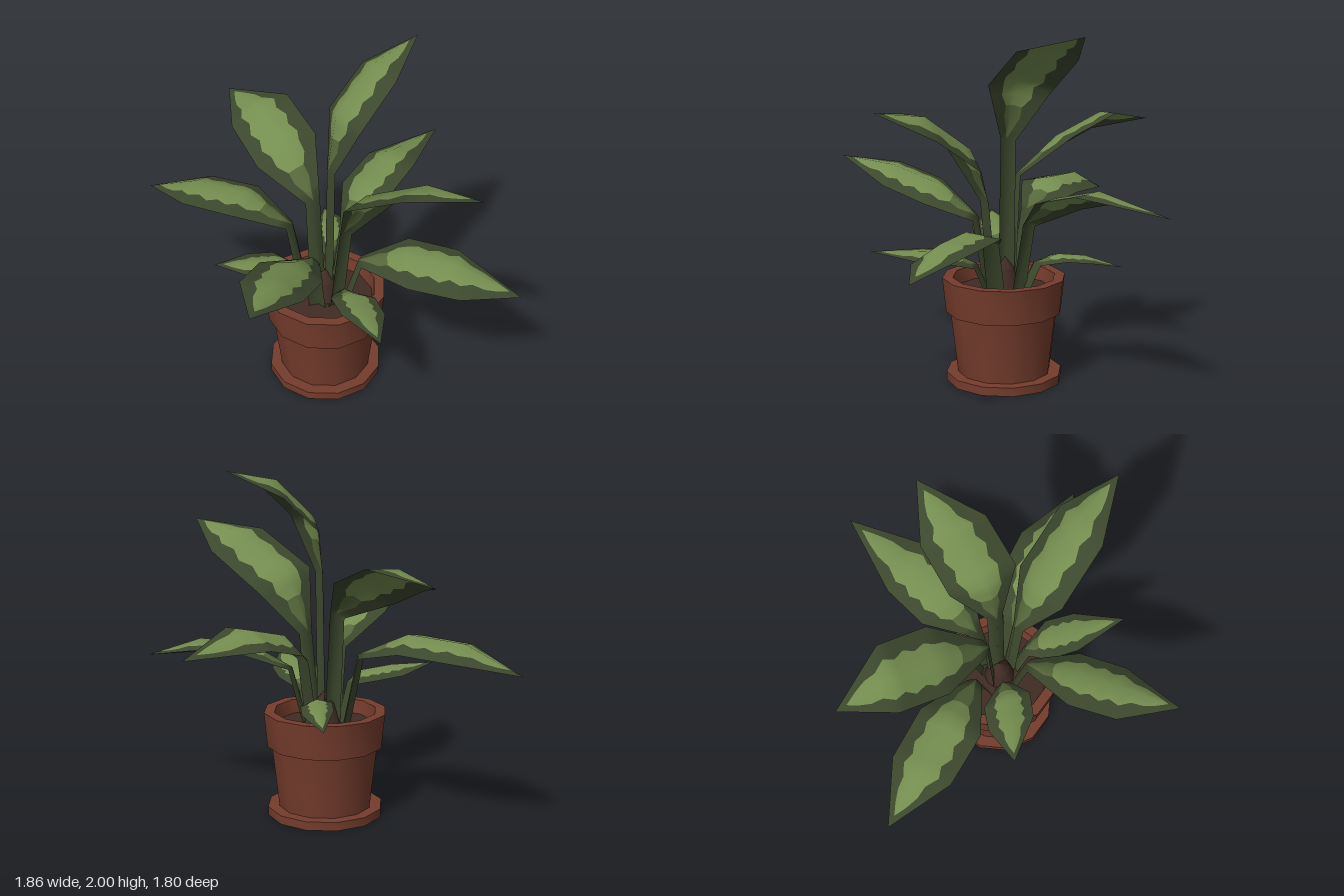
import * as THREE from 'three';
import { mergeVertices, toCreasedNormals } from 'three/addons/utils/BufferGeometryUtils.js';

const mat = (name, color, side = THREE.FrontSide) => {
  const m = new THREE.MeshStandardMaterial({ color, side });
  m.name = name;
  return m;
};
const terracotta = mat('terracotta', 0x743c2c);
const soilBrown = mat('soil brown', 0x402c24);
const darkGreen = mat('dark green', 0x3c482d, THREE.DoubleSide);
const midGreen = mat('mid green', 0x55683a, THREE.DoubleSide);
const lightGreen = mat('light green', 0x748d4f, THREE.DoubleSide);

const POT = new THREE.Vector3(-0.03, 0, 0.018);
const V = (a) => new THREE.Vector3(...a);

// Twelve-sided turned part, smooth around and sharp at the rims
function turned(name, profile, material) {
  const lathe = new THREE.LatheGeometry(profile.map(([r, y]) => new THREE.Vector2(r, y)), 12);
  const m = new THREE.Mesh(toCreasedNormals(lathe, 0.6), material);
  m.name = name;
  m.position.copy(POT);
  return m;
}

// Ragged half-width of the pale patch along the blade, as a share of the blade
const PATCH = [0, 0.3, 0.48, 0.38, 0.58, 0.5, 0.64, 0.52, 0.66, 0.5, 0.62, 0.48, 0.58, 0.5, 0, 0];
const STEPS = 5;

// Folded leaf: stem to blade base, two wide sections, then the tip.
// half runs from the blade centre to one edge; ridge is how far the midrib stands above the edges.
function leaf(name, ridge, half, base, wide1, wide2, tip) {
  const foot = [base[0] * 0.6 + POT.x * 0.4, 0.52, base[2] * 0.6 + POT.z * 0.4];
  const path = [foot, base, wide1, wide2, tip].map(V);
  const side = V(half);
  const stemWidth = 0.046 / side.length();
  const widths = [stemWidth * 1.1, stemWidth, 1, 0.97, 0];
  const ridges = [0.025, 0.025, ridge, ridge, 0];
  if (side.clone().cross(path[4].clone().sub(path[1])).y < 0) side.negate();

  // Key cross-sections with the fold direction at each
  const keys = path.map((p, i) => {
    const along = path[Math.min(i + 1, 4)].clone().sub(path[Math.max(i - 1, 0)]);
    const fold = side.clone().cross(along).normalize().multiplyScalar(ridges[i]);
    return { p, fold, edge: side.clone().multiplyScalar(widths[i]) };
  });
  const section = (i, t, shares) => {
    const a = keys[i], b = keys[Math.min(i + 1, 4)];
    const p = a.p.clone().lerp(b.p, t);
    const edge = a.edge.clone().lerp(b.edge, t);
    const fold = a.fold.clone().lerp(b.fold, t);
    return shares.map((s) => p.clone().addScaledVector(edge, s).addScaledVector(fold, 1 - Math.abs(s)));
  };
  const quad = (out, r0, r1, k) =>
    out.push(r0[k], r0[k + 1], r1[k], r0[k + 1], r1[k + 1], r1[k]);

  // Folded stem, in the margin colour
  const margin = [], shade = [], patch = [];
  const rows = [0, 1].map((i) => section(i, 0, [-1, 0, 1]));
  [0, 1].forEach((k) => quad(margin, rows[0], rows[1], k));

  // Blade rows split into margin and patch
  const blade = PATCH.map((f, r) => {
    const i = Math.min(1 + Math.floor(r / STEPS), 3);
    return section(i, r / STEPS - (i - 1), [-1, -f, 0, f * 0.92, 1]);
  });
  for (let r = 0; r < blade.length - 1; r++) {
    [0, 3].forEach((k) => quad(margin, blade[r], blade[r + 1], k));
    [1, 2].forEach((k) => quad(r < 3 ? shade : patch, blade[r], blade[r + 1], k));
  }

  // One smooth surface with a colour group for each zone
  const g = mergeVertices(new THREE.BufferGeometry().setFromPoints([...margin, ...shade, ...patch]));
  g.computeVertexNormals();
  let start = 0;
  [margin, shade, patch].forEach((zone, i) => {
    g.addGroup(start, zone.length, i);
    start += zone.length;
  });
  const m = new THREE.Mesh(g, [darkGreen, midGreen, lightGreen]);
  m.name = name;
  return m;
}

export function createModel() {
  const model = new THREE.Group();
  model.name = 'pottedPlant';

  // Pot
  model.add(
    turned('saucer', [[0, 0], [0.335, 0], [0.335, 0.05], [0, 0.05]], terracotta),
    turned('potBody', [[0.268, 0.05], [0.31, 0.415]], terracotta),
    turned('potRim', [[0.3, 0.41], [0.335, 0.41], [0.355, 0.61], [0.295, 0.61], [0.28, 0.52]], terracotta),
    turned('soil', [[0.285, 0.53], [0, 0.54]], soilBrown),
    turned('rootCrown', [[0.09, 0.53], [0.06, 0.66], [0, 0.73]], soilBrown)
  );

  // Leaves: midrib height, edge vector, blade base, lower width, upper width, tip
  model.add(
    leaf('topLeaf', 0.065, [0.046, 0.03, 0.18], [0.01, 1.4, 0], [0.1, 1.69, -0.05], [0.31, 1.885, -0.165], [0.565, 2, -0.31]),
    leaf('tallFrontLeaf', 0.065, [0.168, -0.055, -0.083], [0.06, 1.05, 0.14], [0.16, 1.33, 0.275], [0.395, 1.535, 0.53], [0.61, 1.64, 0.77]),
    leaf('tallBackLeaf', 0.06, [0.175, 0.068, -0.033], [-0.08, 1.17, -0.07], [-0.17, 1.34, -0.34], [-0.27, 1.455, -0.61], [-0.4, 1.45, -0.9]),
    leaf('backRightLeaf', 0.06, [0.11, -0.02, -0.15], [-0.2, 0.95, -0.15], [-0.43, 1.045, -0.32], [-0.67, 1.025, -0.515], [-0.93, 0.94, -0.74]),
    leaf('backLeftLeaf', 0.05, [0.1, 0.04, 0.15], [0.12, 0.93, -0.1], [0.27, 1.065, -0.24], [0.47, 1.135, -0.41], [0.84, 1.1, -0.71]),
    leaf('frontLeftLeaf', 0.075, [0.05, 0.04, -0.17], [0.16, 0.83, 0.12], [0.39, 0.895, 0.27], [0.635, 0.895, 0.43], [0.93, 0.84, 0.63]),
    leaf('frontRightLeaf', 0.06, [0.157, -0.045, 0.065], [-0.14, 0.93, 0.17], [-0.3, 1.06, 0.39], [-0.45, 1.145, 0.62], [-0.61, 1.235, 0.9]),
    leaf('smallFrontLeaf', 0.025, [0.125, -0.015, 0.01], [0.04, 0.69, 0.2], [0.06, 0.75, 0.32], [0.075, 0.77, 0.49], [0.095, 0.81, 0.78]),
    leaf('smallRightLeaf', 0.04, [0.025, 0, 0.137], [-0.18, 0.76, 0.02], [-0.28, 0.8, 0.02], [-0.43, 0.82, 0.02], [-0.66, 0.865, 0]),
    leaf('smallBackLeaf', 0.03, [0.095, 0, -0.03], [0.05, 0.69, -0.16], [0.08, 0.725, -0.28], [0.1, 0.715, -0.42], [0.115, 0.67, -0.64])
  );
  return model;
}
